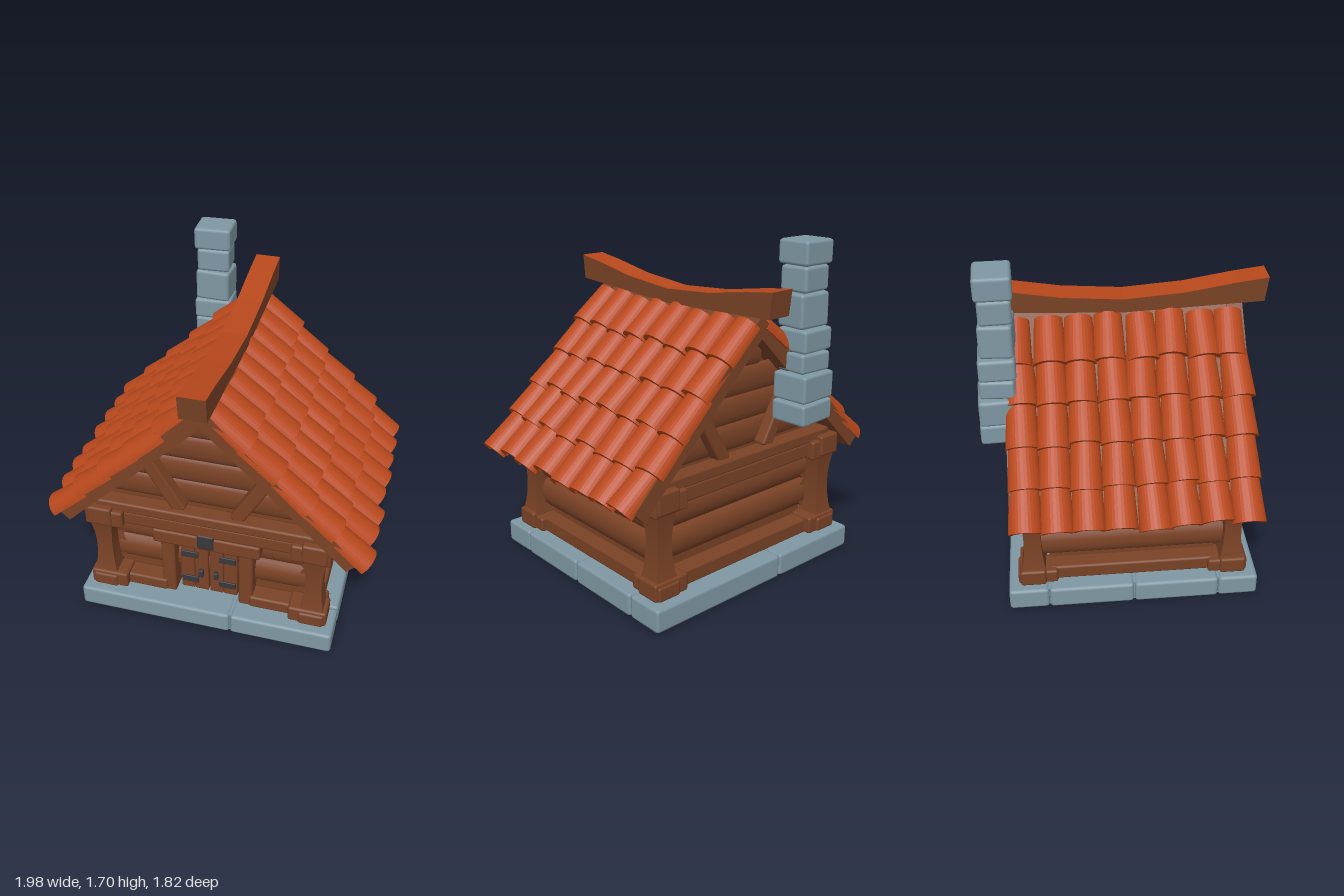
import * as THREE from 'three';
import { RoundedBoxGeometry } from 'three/addons/geometries/RoundedBoxGeometry.js';

const stone = new THREE.MeshStandardMaterial({ color: 0x7f98a3 }); stone.name = 'stone';
const wood = new THREE.MeshStandardMaterial({ color: 0x7a4226 }); wood.name = 'wood';
const clay = new THREE.MeshStandardMaterial({ color: 0xb8481c }); clay.name = 'clay';
const iron = new THREE.MeshStandardMaterial({ color: 0x38383c }); iron.name = 'iron';

let seed = 7;
const jitter = (a) => {
  seed = (seed * 16807) % 2147483647;
  return (seed / 2147483647 - 0.5) * 2 * a;
};

function add(parent, name, geo, mat, x = 0, y = 0, z = 0) {
  const m = new THREE.Mesh(geo, mat);
  m.name = name;
  m.position.set(x, y, z);
  parent.add(m);
  return m;
}
function block(parent, name, mat, w, h, d, x, y, z, r = 0.012) {
  return add(parent, name, new RoundedBoxGeometry(w, h, d, 1, Math.min(r, h / 3, d / 3, w / 3)), mat, x, y, z);
}
// Outline extruded symmetrically about z = 0
function prism(points, depth) {
  const s = new THREE.Shape(points.map(([x, y]) => new THREE.Vector2(x, y)));
  return new THREE.ExtrudeGeometry(s, { depth, bevelEnabled: false }).translate(0, 0, -depth / 2);
}
// Roof-shaped band at 45 degrees: top and bottom heights at the ridge, half width
function chevron(top, bottom, half, depth) {
  const low = half - (top - bottom) / 2;
  return prism([[0, top], [-half, top - half], [-low, bottom - low], [0, bottom],
    [low, bottom - low], [half, top - half]], depth);
}
// Horizontal log, along x or z
function log(parent, length, height, depth, x, y, z, alongX) {
  const g = new THREE.CylinderGeometry(1, 1, length, 16).scale(height / 2, 1, depth / 2).rotateZ(Math.PI / 2);
  if (!alongX) g.rotateY(Math.PI / 2);
  return add(parent, 'wallLog', g, wood, x, y, z);
}

function buildBase(house) {
  add(house, 'foundation', new THREE.BoxGeometry(1.3, 0.11, 1.22), stone, 0, 0.058, 0);
  // Edge stones around the slab
  for (const s of [-1, 1]) {
    const cuts = [-0.672, s * 0.14, 0.672];
    for (let i = 0; i < 2; i++) {
      const a = cuts[i], b = cuts[i + 1];
      block(house, 'edgeStone', stone, b - a - 0.004, 0.118, 0.2, (a + b) / 2, 0.061, s * 0.53, 0.016);
    }
    for (const z of [-0.215, 0.215])
      block(house, 'edgeStone', stone, 0.2, 0.118, 0.426, s * 0.572, 0.061, z, 0.016);
  }
}

function buildFrame(house) {
  // Waisted corner posts with crossing sill and plate ends
  const h = 0.35;
  const post = new THREE.BoxGeometry(0.12, h, 0.12, 1, 8, 1);
  const p = post.attributes.position;
  for (let i = 0; i < p.count; i++) {
    const t = (2 * p.getY(i)) / h, k = 0.7 + 0.3 * t * t;
    p.setX(i, p.getX(i) * k);
    p.setZ(i, p.getZ(i) * k);
  }
  post.computeVertexNormals();
  for (const sx of [-1, 1]) for (const sz of [-1, 1]) {
    add(house, 'cornerPost', post, wood, sx * 0.55, 0.375, sz * 0.5);
    block(house, 'sillEnd', wood, 0.2, 0.09, 0.13, sx * 0.53, 0.163, sz * 0.505);
    block(house, 'sillEnd', wood, 0.13, 0.075, 0.2, sx * 0.55, 0.155, sz * 0.48);
    block(house, 'plateEnd', wood, 0.2, 0.1, 0.13, sx * 0.53, 0.585, sz * 0.505);
    block(house, 'plateEnd', wood, 0.13, 0.11, 0.2, sx * 0.55, 0.6, sz * 0.48);
  }
  // Sills, plates and gable beams
  for (const s of [-1, 1]) {
    block(house, 'sideSill', wood, 0.1, 0.08, 0.84, s * 0.54, 0.155, 0);
    block(house, 'sidePlate', wood, 0.1, 0.09, 0.84, s * 0.55, 0.585, 0);
    block(house, 'endPlate', wood, 0.94, 0.08, 0.1, 0, 0.585, s * 0.485);
    block(house, 'gableBeam', wood, 1.16, 0.06, 0.09, 0, 0.655, s * 0.5);
    block(house, 'frontSill', wood, 0.26, 0.07, 0.1, s * 0.35, 0.155, 0.485);
  }
  block(house, 'backSill', wood, 0.94, 0.08, 0.1, 0, 0.155, -0.485);
}

function buildWalls(house) {
  add(house, 'wallCore', new THREE.BoxGeometry(1.02, 0.54, 0.84), wood, 0, 0.38, 0);
  add(house, 'gableCore', prism([[-0.66, 0.62], [0.66, 0.62], [0, 1.28]], 0.86), wood);
  for (const s of [-1, 1]) {
    for (const y of [0.307, 0.465]) {
      log(house, 0.92, 0.16, 0.1, s * 0.505, y, 0, false);
      log(house, 1.0, 0.16, 0.1, 0, y, s * 0.42, true);
    }
    // Gable logs shorten towards the ridge
    for (let i = 0; i < 4; i++) {
      const y = 0.75 + i * 0.135;
      log(house, 2 * (1.3 - y), 0.142, 0.05, 0, y, s * 0.43, true);
    }
    // Leaning gable braces
    for (const sx of [-1, 1]) {
      const b = block(house, 'gableBrace', wood, 0.07, 0.34, 0.07, sx * 0.225, 0.82, s * 0.48);
      b.rotation.z = -sx * 0.52;
    }
  }
}

function buildDoor(house) {
  const door = new THREE.Group();
  door.name = 'door';
  door.position.set(-0.007, 0, -0.02);
  house.add(door);
  for (const s of [-1, 1]) {
    block(door, 'doorPost', wood, 0.075, 0.36, 0.1, s * 0.205, 0.295, 0.495);
    for (const x of [0.04, 0.115])
      block(door, 'doorPlank', wood, 0.073, 0.32, 0.05, s * x, 0.28, 0.475, 0.006);
    for (const y of [0.19, 0.365])
      block(door, 'hinge', iron, 0.09, 0.04, 0.012, s * 0.1, y, 0.503, 0.004);
    block(door, 'handle', iron, 0.025, 0.045, 0.025, s * 0.04, 0.25, 0.51, 0.005);
  }
  block(door, 'lintel', wood, 0.56, 0.085, 0.11, 0, 0.5, 0.5);
  block(door, 'lintelPlate', iron, 0.09, 0.09, 0.04, 0, 0.515, 0.54, 0.01);
}

function buildRoof(house) {
  const roof = new THREE.Group();
  roof.name = 'roof';
  house.add(roof);
  add(roof, 'roofBoards', chevron(1.355, 1.315, 0.76, 1.1), wood);
  for (const s of [-1, 1])
    add(roof, 'bargeBoard', chevron(1.37, 1.26, 0.76, 0.08), wood, 0, 0, s * 0.55);

  // Arched tile, narrower at its upper end
  const arch = new THREE.Shape();
  arch.absarc(0, 0, 0.082, 0, Math.PI, false);
  arch.absarc(0, 0, 0.058, Math.PI, 0, true);
  const tile = new THREE.ExtrudeGeometry(arch, { depth: 0.235, bevelEnabled: false, curveSegments: 8 });
  const p = tile.attributes.position;
  for (let i = 0; i < p.count; i++) {
    const k = 0.86 + 0.14 * (p.getZ(i) / 0.235);
    p.setXY(i, p.getX(i) * k, p.getY(i) * k * 0.95);
  }
  tile.computeVertexNormals();
  for (const s of [-1, 1]) {
    const side = new THREE.Group();
    side.name = 'tileSlope';
    const c = Math.SQRT1_2;
    side.quaternion.setFromRotationMatrix(new THREE.Matrix4().makeBasis(
      new THREE.Vector3(0, 0, -s), new THREE.Vector3(c * s, c, 0), new THREE.Vector3(c * s, -c, 0)));
    side.position.y = 1.342;
    roof.add(side);
    for (let col = 0; col < 8; col++) for (let row = 0; row < 5; row++) {
      const m = add(side, 'roofTile', tile, clay, (col - 3.5) * 0.1485 + jitter(0.006),
        -0.008, 0.04 + row * 0.203 + jitter(0.012));
      m.rotation.set(-0.075 + jitter(0.02), jitter(0.05), 0);
    }
  }

  // Sagging ridge beam: profile runs along z
  const top = [[-0.705, 1.5], [-0.55, 1.48], [-0.3, 1.438], [0, 1.415], [0.3, 1.438], [0.55, 1.48], [0.705, 1.5]];
  const beam = prism([[-0.69, 1.375], [0, 1.345], [0.69, 1.375], ...top.slice().reverse()], 0.13);
  add(roof, 'ridgeBeam', beam.rotateY(-Math.PI / 2), wood);
  const cap = prism([...top, ...top.map(([z, y]) => [z, y + 0.002]).reverse()], 0.13);
  add(roof, 'ridgeTopFace', cap.rotateY(-Math.PI / 2), clay);
}

function buildChimney(house) {
  const chimney = new THREE.Group();
  chimney.name = 'chimney';
  chimney.position.set(-0.265, 0, -0.605);
  house.add(chimney);
  // Courses of single stones: bottom, top, width, depth, backward shift
  const courses = [[0.82, 0.93, 0.22, 0.2, 0.015], [0.93, 1.07, 0.225, 0.195, 0.015], [1.07, 1.17, 0.19, 0.17, 0.01],
    [1.17, 1.285, 0.2, 0.175, 0.01], [1.285, 1.455, 0.185, 0.16, 0], [1.455, 1.58, 0.175, 0.155, 0],
    [1.58, 1.7, 0.195, 0.175, 0]];
  for (const [a, b, w, d, back] of courses) {
    const m = block(chimney, 'chimneyStone', stone, w, b - a - 0.003, d, jitter(0.004), (a + b) / 2, -back, 0.016);
    m.rotation.set(0, jitter(0.06), jitter(0.025));
  }
  add(chimney, 'chimneyCore', new THREE.BoxGeometry(0.14, 0.83, 0.12), stone, 0, 1.26, 0);
}

export function createModel() {
  const model = new THREE.Group();
  model.name = 'logCabin';
  const house = new THREE.Group();
  house.name = 'house';
  house.rotation.y = THREE.MathUtils.degToRad(30.3);
  model.add(house);
  [buildBase, buildFrame, buildWalls, buildDoor, buildRoof, buildChimney].forEach((build) => build(house));
  return model;
}
